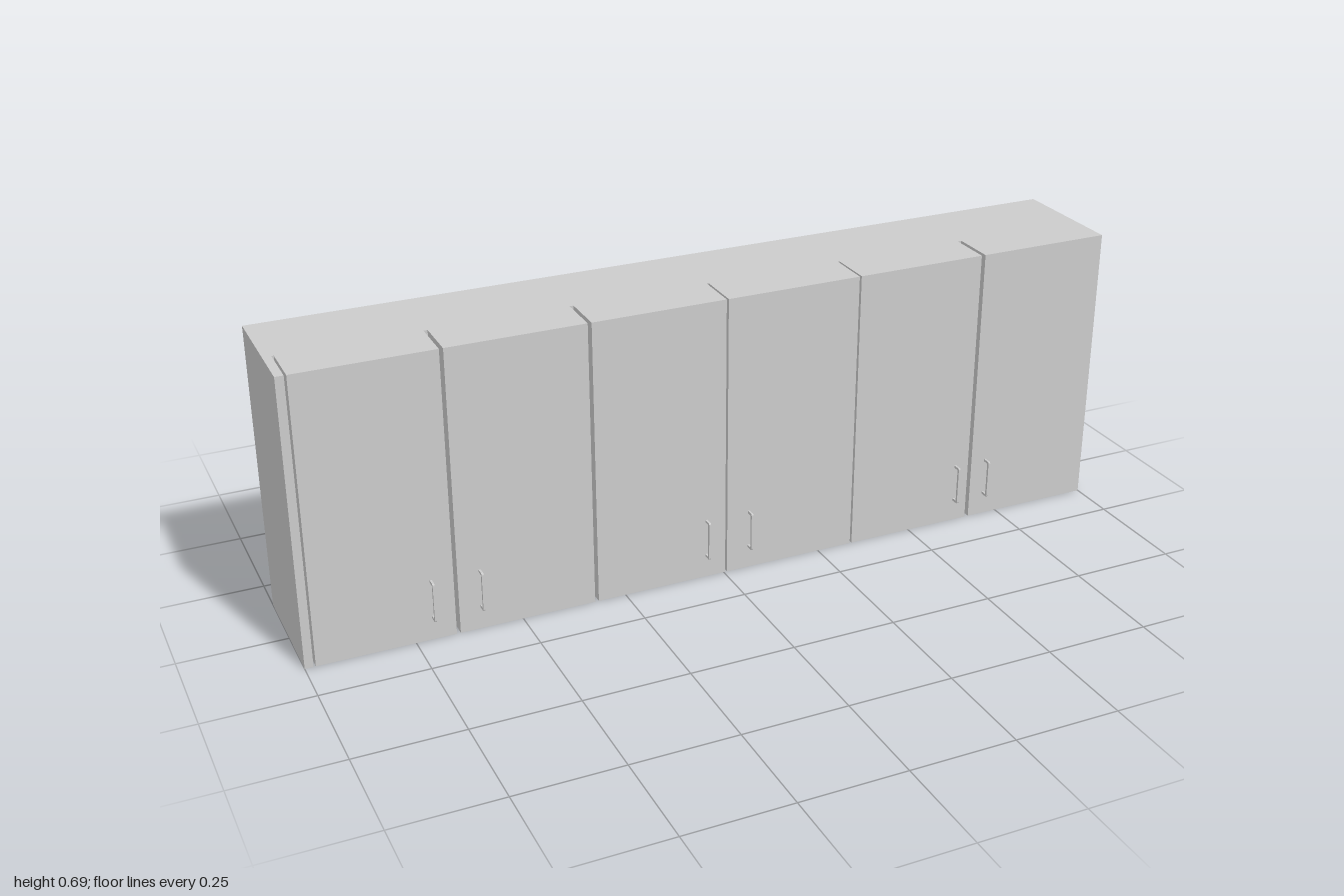
import * as THREE from 'three';

const material = new THREE.MeshStandardMaterial({ color: 0xcccccc });
const BACK = -0.157, FRONT = 0.137, HEIGHT = 0.69, SLOT_BACK = 0.03;

// Cabinet run: comb-shaped plan with a narrow slot between doors, extruded upwards
function makeCabinet() {
  const slots = [[-0.978, 0.005], [-0.652, 0.009], [-0.321, 0.009], [0.006, 0.005], [0.34, 0.005], [0.667, 0.01]];
  const plan = new THREE.Shape();
  plan.moveTo(-1, -FRONT);
  for (const [x, width] of slots) {
    plan.lineTo(x - width / 2, -FRONT);
    plan.lineTo(x - width / 2, -SLOT_BACK);
    plan.lineTo(x + width / 2, -SLOT_BACK);
    plan.lineTo(x + width / 2, -FRONT);
  }
  plan.lineTo(1, -FRONT);
  plan.lineTo(1, -BACK);
  plan.lineTo(-1, -BACK);
  plan.closePath();
  const geometry = new THREE.ExtrudeGeometry(plan, { depth: HEIGHT, bevelEnabled: false });
  geometry.rotateX(-Math.PI / 2);
  const mesh = new THREE.Mesh(geometry, material);
  mesh.name = 'cabinetRun';
  return mesh;
}

// Bow handle: flat U-shaped side profile with rounded outer corners
function makeHandleGeometry() {
  const low = 0.054, high = 0.15, reach = 0.021, t = 0.006, r = 0.005, width = 0.005;
  const side = new THREE.Shape();
  side.moveTo(0, low);
  side.lineTo(reach - r, low);
  side.quadraticCurveTo(reach, low, reach, low + r);
  side.lineTo(reach, high - r);
  side.quadraticCurveTo(reach, high, reach - r, high);
  side.lineTo(0, high);
  side.lineTo(0, high - t);
  side.lineTo(reach - t, high - t);
  side.lineTo(reach - t, low + t);
  side.lineTo(0, low + t);
  side.closePath();
  const geometry = new THREE.ExtrudeGeometry(side, { depth: width, bevelEnabled: false, curveSegments: 5 });
  geometry.translate(0, 0, -width / 2);
  geometry.rotateY(-Math.PI / 2);
  return geometry;
}

export function createModel() {
  const group = new THREE.Group();
  group.name = 'wallCabinets';
  group.add(makeCabinet());

  // One handle per door, in facing pairs
  const handleGeometry = makeHandleGeometry();
  [-0.708, -0.596, -0.045, 0.064, 0.626, 0.711].forEach((x, i) => {
    const handle = new THREE.Mesh(handleGeometry, material);
    handle.name = `doorHandle${i + 1}`;
    handle.position.set(x, 0, FRONT);
    group.add(handle);
  });
  return group;
}
